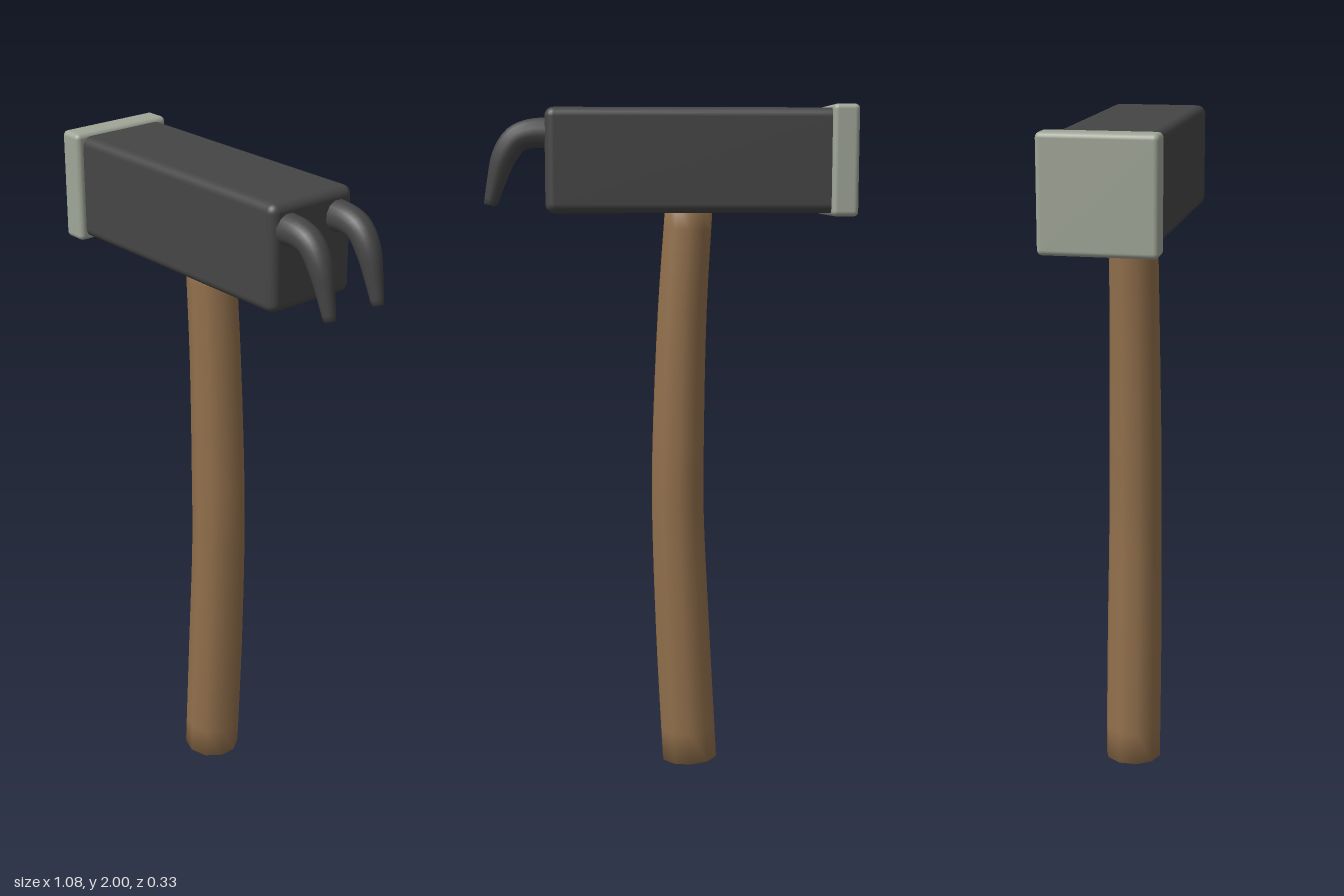
import * as THREE from 'three';
import { RoundedBoxGeometry } from 'three/addons/geometries/RoundedBoxGeometry.js';

const mat = (name, color) => {
  const m = new THREE.MeshStandardMaterial({ color });
  m.name = name;
  return m;
};

// Smooth tapered rod along [x, y, radius] stations in the xy plane, closed at both ends
function taperedRod(stations, sides, steps) {
  const curve = new THREE.CatmullRomCurve3(stations.map(s => new THREE.Vector3(...s)));
  const pos = [], index = [];
  const addRing = (p, t, r) => {
    const len = Math.hypot(t.x, t.y);
    for (let j = 0; j < sides; j++) {
      const a = (j + 0.5) / sides * Math.PI * 2;
      const c = Math.cos(a) * r;
      pos.push(p.x - t.y / len * c, p.y + t.x / len * c, Math.sin(a) * r);
    }
  };
  for (let i = 0; i <= steps; i++) {
    const p = curve.getPoint(i / steps);
    addRing(p, curve.getTangent(i / steps), p.z);
  }
  for (let i = 0; i < steps; i++) {
    for (let j = 0; j < sides; j++) {
      const k = (j + 1) % sides;
      const a = i * sides + j, b = i * sides + k;
      index.push(a, b, a + sides, b, b + sides, a + sides);
    }
  }
  // End caps
  for (const end of [0, 1]) {
    const p = curve.getPoint(end);
    const base = end * steps * sides, centre = pos.length / 3;
    pos.push(p.x, p.y, 0);
    for (let j = 0; j < sides; j++) {
      const a = base + j, b = base + (j + 1) % sides;
      if (end) index.push(a, b, centre); else index.push(b, a, centre);
    }
  }
  const g = new THREE.BufferGeometry();
  g.setAttribute('position', new THREE.Float32BufferAttribute(pos, 3));
  g.setIndex(index);
  g.computeVertexNormals();
  return g;
}

export function createModel() {
  const group = new THREE.Group();
  const wood = mat('wood', 0x92704c);
  const iron = mat('dark iron', 0x454545);
  const steel = mat('pale steel', 0xa0a698);

  const add = (name, geometry, material, x = 0, y = 0, z = 0) => {
    const mesh = new THREE.Mesh(geometry, material);
    mesh.name = name;
    mesh.position.set(x, y, z);
    group.add(mesh);
    return mesh;
  };

  // Curved wooden handle, thicker towards the bottom
  add('handle', taperedRod([
    [-0.066, 0.008, 0.086], [-0.045, 0.4, 0.085], [-0.029, 0.8, 0.081],
    [-0.030, 1.0, 0.080], [-0.042, 1.4, 0.075], [-0.062, 1.72, 0.072],
  ], 10, 20), wood);

  // Hammer head and striking plate
  add('head', new RoundedBoxGeometry(0.86, 0.3, 0.288, 4, 0.026), iron, -0.07, 1.84, -0.001);
  add('strikingPlate', new RoundedBoxGeometry(0.077, 0.32, 0.326, 3, 0.015), steel, -0.5015, 1.84, 0);

  // Pair of hooked claws
  const claw = taperedRod([
    [0.335, 1.918, 0.045], [0.40, 1.917, 0.041], [0.445, 1.90, 0.038],
    [0.48, 1.85, 0.034], [0.503, 1.78, 0.025], [0.521, 1.713, 0.017],
  ], 12, 20);
  for (const [name, side] of [['clawFront', 1], ['clawBack', -1]]) {
    const mesh = add(name, claw, iron, 0, 0, side * 0.087);
    mesh.rotation.y = 0;
  }
  return group;
}
